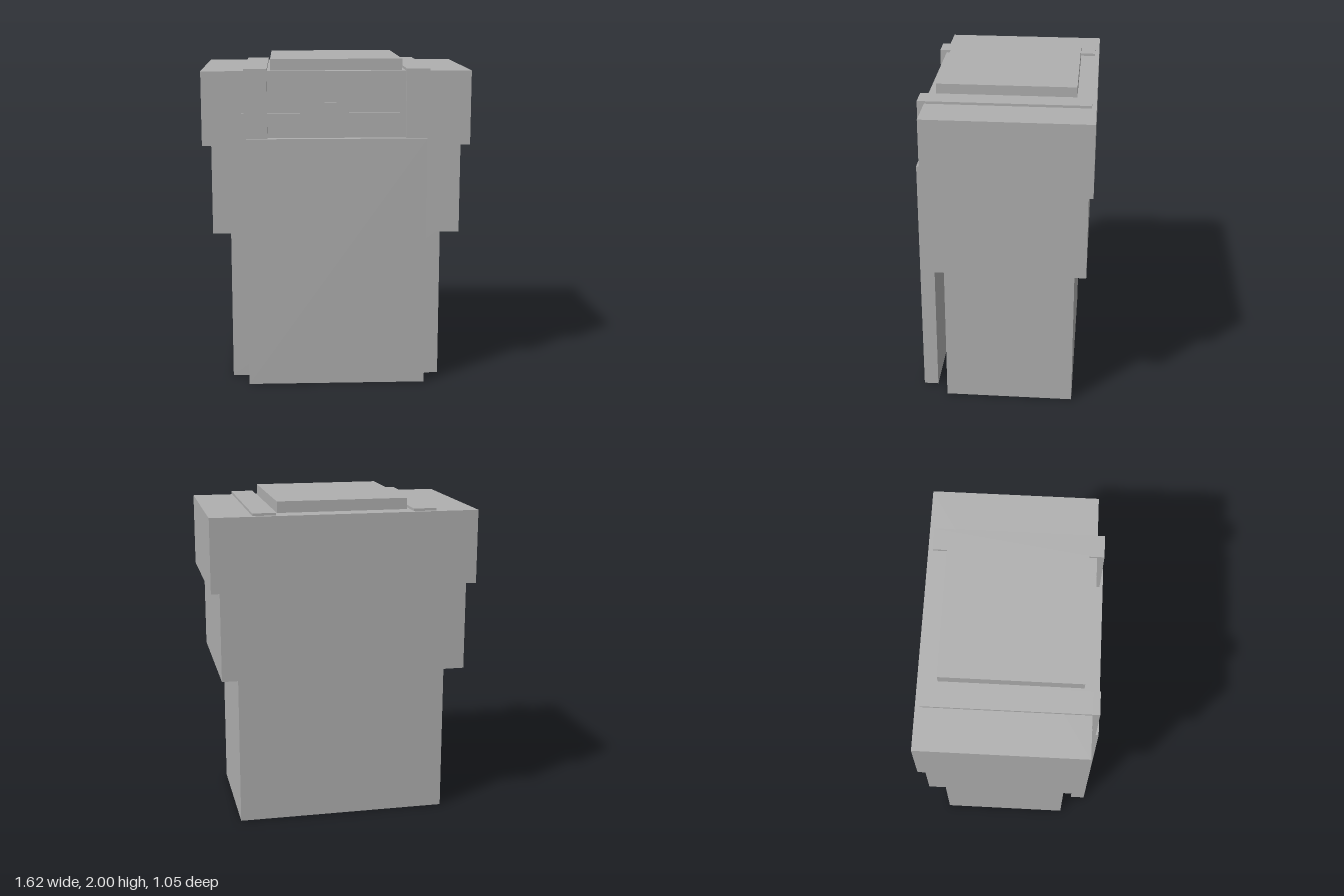
import * as THREE from 'three';

const grey = new THREE.MeshStandardMaterial({ color: 0xb0b0b0 });
grey.name = 'grey';

// Box given by its minimum and maximum on each axis
function block(name, [x0, x1], [y0, y1], [z0, z1]) {
  const mesh = new THREE.Mesh(new THREE.BoxGeometry(x1 - x0, y1 - y0, z1 - z0), grey);
  mesh.position.set((x0 + x1) / 2, (y0 + y1) / 2, (z0 + z1) / 2);
  mesh.name = name;
  return mesh;
}

// Box centred on x = 0
const centred = (name, half, y, z) => block(name, [-half, half], y, z);

export function createModel() {
  const model = new THREE.Group();
  model.name = 'strappedPack';

  // Three stacked body tiers, widening upwards, and the raised top pad
  model.add(
    centred('lowerBody', 0.649, [0, 0.94], [-0.428, 0.364]),
    centred('middleBody', 0.755, [0.94, 1.485], [-0.5, 0.438]),
    centred('upperBody', 0.809, [1.485, 1.932], [-0.527, 0.465]),
    centred('topPad', 0.396, [1.932, 2], [-0.411, 0.416]),
  );

  // Front panel, the wider plate behind it and the narrow central strip
  model.add(
    centred('frontPanel', 0.543, [0, 1.533], [0.438, 0.527]),
    centred('backingPlate', 0.612, [1.088, 1.682], [0.43, 0.48]),
    centred('centreStrip', 0.073, [0.04, 1.746], [0.421, 0.473]),
  );

  // Straps running over the top and down the front
  for (const side of [-1, 1]) {
    const strap = new THREE.Group();
    strap.name = side > 0 ? 'leftStrap' : 'rightStrap';
    const x = side > 0 ? [0.416, 0.554] : [-0.554, -0.416];
    strap.add(
      block('strapTop', x, [1.932, 1.947], [-0.5, 0.465]),
      block('strapFront', x, [1.533, 1.947], [0.465, 0.507]),
    );
    model.add(strap);
  }
  return model;
}
